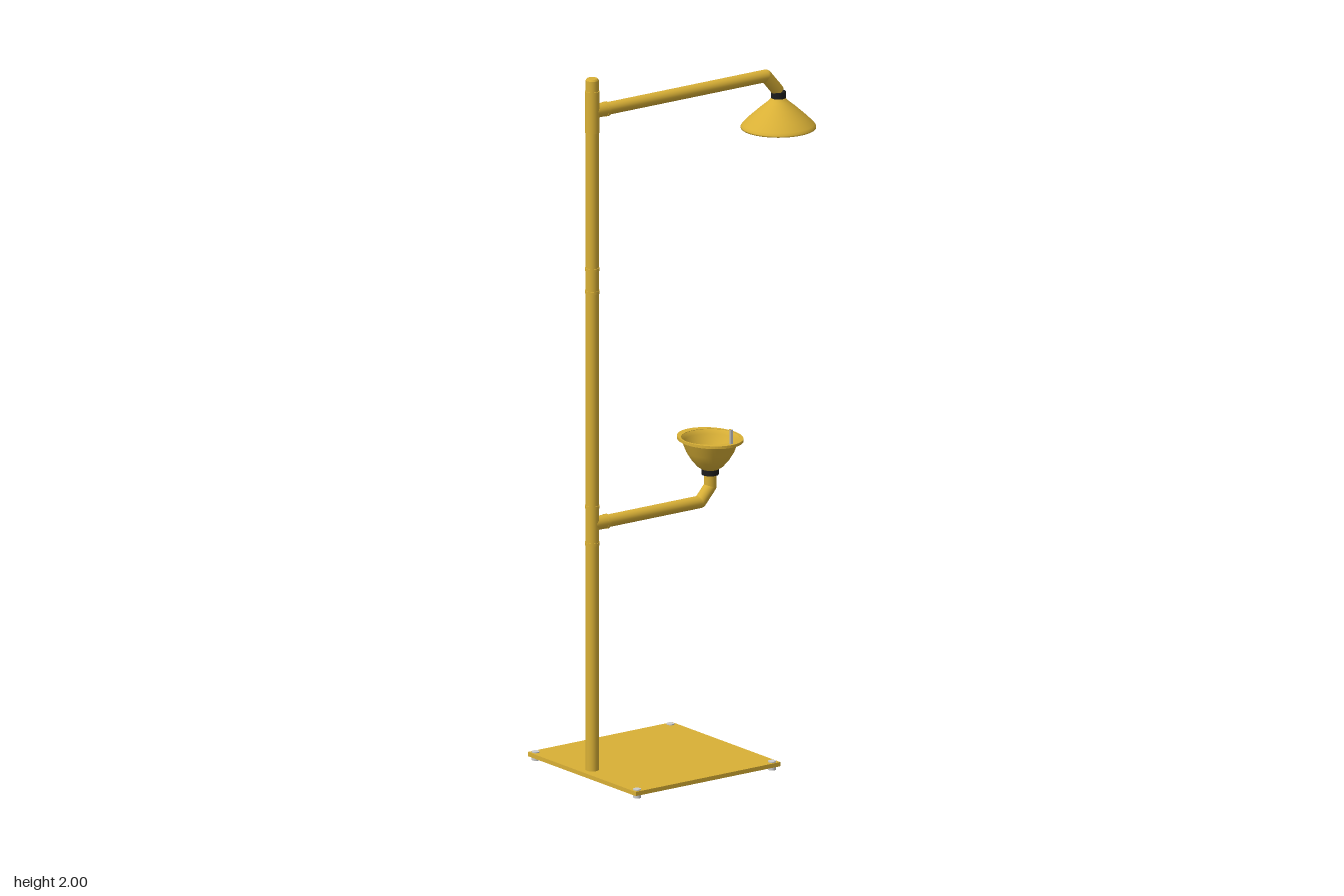
import * as THREE from 'three';

const mat = (name, color, side = THREE.FrontSide) => {
  const m = new THREE.MeshStandardMaterial({ color, side });
  m.name = name;
  return m;
};

export function createModel() {
  const root = new THREE.Group();
  root.name = 'emergencyShower';
  const gold = mat('yellow paint', 0xd9b036, THREE.DoubleSide);
  const black = mat('black rubber', 0x1c1c1c);
  const steel = mat('light steel', 0xcccccc);

  const add = (parent, name, geo, material, x = 0, y = 0, z = 0) => {
    const m = new THREE.Mesh(geo, material);
    m.name = name;
    m.position.set(x, y, z);
    parent.add(m);
    return m;
  };
  const cyl = (r, h, r2 = r) => new THREE.CylinderGeometry(r, r2, h, 32);
  const lathe = (pts) => new THREE.LatheGeometry(pts.map(p => new THREE.Vector2(...p)), 48);

  // Straight pipe runs through [y, z] points with ball-filled elbows
  const pipe = (name, pts, r) => {
    const g = new THREE.Group();
    g.name = name;
    const v = pts.map(([y, z]) => new THREE.Vector3(0, y, z));
    for (let i = 0; i < v.length - 1; i++) {
      const d = v[i + 1].clone().sub(v[i]);
      const run = add(g, 'pipeRun', cyl(r, d.length()), gold);
      run.position.copy(v[i]).addScaledVector(d, 0.5);
      run.quaternion.setFromUnitVectors(new THREE.Vector3(0, 1, 0), d.normalize());
      if (i > 0) add(g, 'elbow', new THREE.SphereGeometry(r, 32, 16), gold, 0, v[i].y, v[i].z);
    }
    root.add(g);
  };

  // Base plate with corner bolts
  const poleZ = 0.352;
  add(root, 'basePlate', new THREE.BoxGeometry(0.496, 0.012, 0.496), gold, 0, 0.016, 0.14);
  for (const x of [-0.233, 0.233]) for (const z of [-0.091, 0.372]) {
    add(root, 'cornerBolt', cyl(0.011, 0.025), steel, x, 0.0125, z);
  }

  // Upright pole with chamfered cap
  add(root, 'pole', cyl(0.018, 1.975), gold, 0, 1.0075, poleZ);
  add(root, 'poleCap', cyl(0.015, 0.005, 0.018), gold, 0, 1.9975, poleZ);

  // Sleeves with a raised ring at each end
  for (const [name, y0, y1] of [['lowerTee', 0.67, 0.775], ['coupling', 1.39, 1.455], ['upperTee', 1.85, 1.96]]) {
    add(root, name, cyl(name === 'upperTee' ? 0.0205 : 0.019, y1 - y0), gold, 0, (y0 + y1) / 2, poleZ);
    for (const y of [y0, y1]) add(root, name + 'Ring', cyl(0.0205, 0.008), gold, 0, y, poleZ);
  }
  for (const y of [0.725, 1.905]) {
    add(root, 'teeSocket', cyl(0.0195, 0.045), gold, 0, y, 0.328).rotation.x = Math.PI / 2;
    add(root, 'teeSocketRing', cyl(0.0205, 0.008), gold, 0, y, 0.305).rotation.x = Math.PI / 2;
  }

  // Arms
  pipe('showerArm', [[1.905, poleZ], [1.905, -0.243], [1.862, -0.28], [1.855, -0.285]], 0.0175);
  pipe('eyewashArm', [[0.725, poleZ], [0.725, -0.018], [0.764, -0.053], [0.805, -0.053]], 0.0175);

  // Shower head: open cone, collar and inner nozzle
  const head = new THREE.Group();
  head.name = 'showerHead';
  head.position.set(0, 1.75, -0.287);
  root.add(head);
  add(head, 'headShell', lathe([
    [0.016, 0.09], [0.02, 0.084], [0.028, 0.075], [0.05, 0.057], [0.08, 0.03],
    [0.099, 0.011], [0.104, 0.004], [0.104, 0], [0.1, 0], [0.097, 0.007], [0.05, 0.051], [0.001, 0.072],
  ]), gold);
  add(head, 'headCollar', cyl(0.0205, 0.018), black, 0, 0.094, 0);
  add(head, 'nozzle', cyl(0.024, 0.03), gold, 0, 0.053, 0);

  // Eyewash bowl with a wide oval rim
  const bowl = new THREE.Group();
  bowl.name = 'eyewashBowl';
  bowl.position.set(0, 0.81, -0.053);
  root.add(bowl);
  add(bowl, 'bowlShell', lathe([
    [0, 0.004], [0.024, 0.004], [0.036, 0.012], [0.052, 0.03], [0.066, 0.053], [0.08, 0.088],
    [0.084, 0.094], [0.08, 0.094], [0.074, 0.082], [0.062, 0.055], [0.048, 0.034], [0.03, 0.016], [0, 0.012],
  ]), gold);
  const rim = new THREE.Shape().absellipse(0, 0, 0.102, 0.085, 0, Math.PI * 2);
  rim.holes.push(new THREE.Path().absellipse(0, 0, 0.08, 0.08, 0, Math.PI * 2, true));
  const rimGeo = new THREE.ExtrudeGeometry(rim, { depth: 0.008, bevelEnabled: false, curveSegments: 32 });
  add(bowl, 'bowlRim', rimGeo.rotateX(-Math.PI / 2), gold, 0, 0.087, 0);
  add(bowl, 'bowlCollar', cyl(0.0235, 0.018), black, 0, -0.003, 0);

  // Push handle on the rim
  add(bowl, 'handle', cyl(0.004, 0.045), gold, 0.088, 0.113, -0.003);
  add(bowl, 'handlePlate', new THREE.BoxGeometry(0.003, 0.045, 0.009), steel, 0.0925, 0.113, -0.003);

  return root;
}
